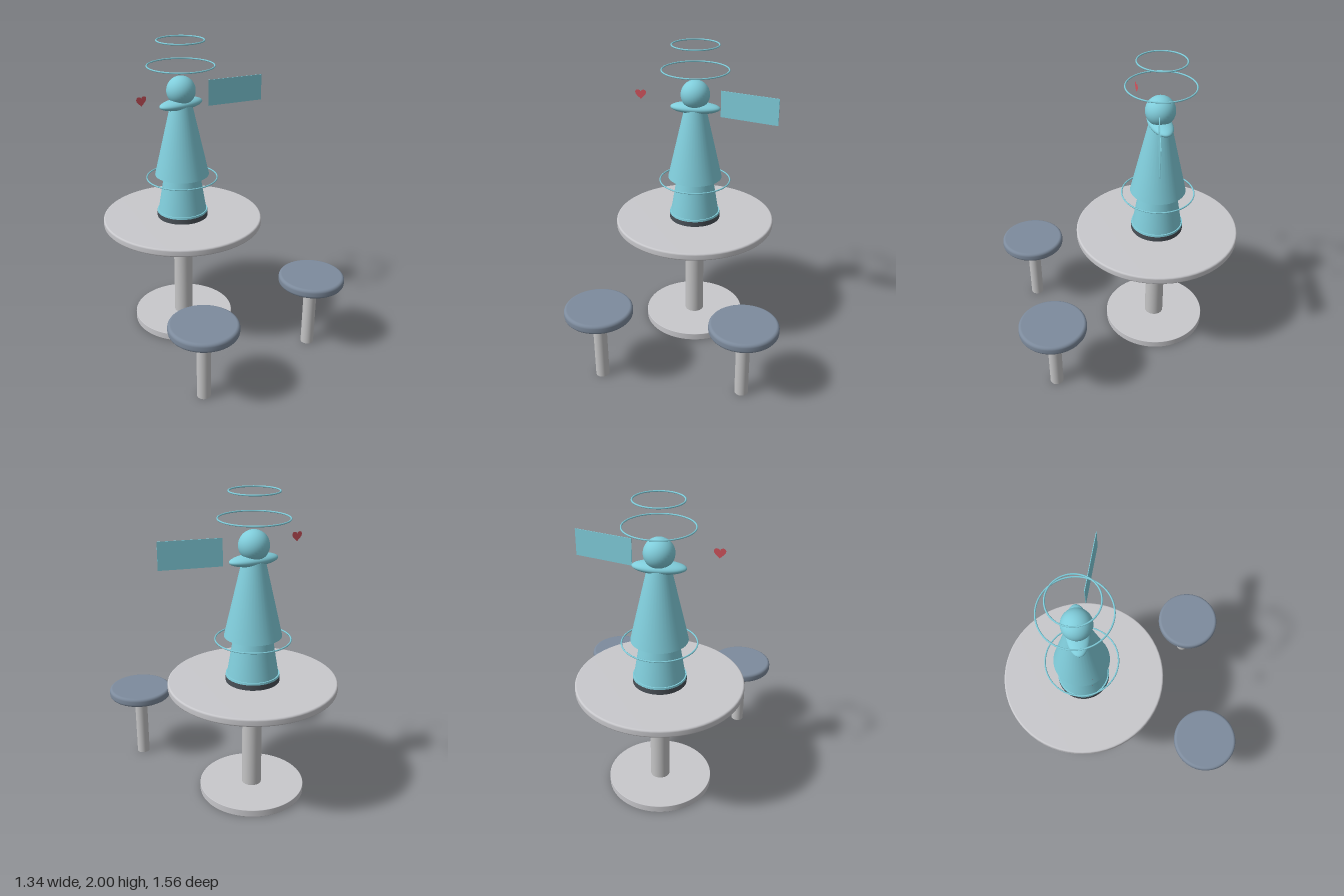
import * as THREE from 'three';

const mat = (name, color) => {
  const m = new THREE.MeshStandardMaterial({ color });
  m.name = name;
  return m;
};

export function createModel() {
  const model = new THREE.Group();
  const stone = mat('pale grey', 0xc8c8cc);
  const metal = mat('leg grey', 0xc4c4c5);
  const cushion = mat('slate blue', 0x7d8b9d);
  const dark = mat('dark grey', 0x4a5158);
  const cyan = mat('cyan', 0x80cddb);
  const red = mat('red', 0xd4555f);
  red.side = THREE.DoubleSide;
  const Z = -0.24; // table and figure axis

  const add = (name, geo, material, x, y, z, parent = model) => {
    const mesh = new THREE.Mesh(geo, material);
    mesh.name = name;
    mesh.position.set(x, y, z);
    parent.add(mesh);
    return mesh;
  };
  // Upright cylinder or cone from y0 to y1
  const column = (name, rTop, rBottom, y0, y1, material, x, z, parent) =>
    add(name, new THREE.CylinderGeometry(rTop, rBottom, y1 - y0, 40), material, x, (y0 + y1) / 2, z, parent);
  // Round disc with a rounded rim
  const disc = (name, r, y0, y1, bevel, material, x, z, parent) => {
    const h = y1 - y0, pts = [new THREE.Vector2(0, 0), new THREE.Vector2(r - bevel, 0)];
    for (let i = 0; i <= 4; i++) {
      const a = (i / 4) * Math.PI / 2;
      pts.push(new THREE.Vector2(r - bevel + bevel * Math.sin(a), bevel - bevel * Math.cos(a)));
    }
    for (let i = 0; i <= 4; i++) {
      const a = (i / 4) * Math.PI / 2;
      pts.push(new THREE.Vector2(r - bevel + bevel * Math.cos(a), h - bevel + bevel * Math.sin(a)));
    }
    pts.push(new THREE.Vector2(0, h));
    return add(name, new THREE.LatheGeometry(pts, 64), material, x, y0, z, parent);
  };

  // Table
  const table = new THREE.Group();
  table.name = 'table';
  model.add(table);
  disc('tableTop', 0.54, 0.755, 0.805, 0.012, stone, 0, Z, table);
  column('tablePillar', 0.064, 0.064, 0.04, 0.76, metal, 0, Z, table);
  disc('tableBase', 0.345, 0, 0.048, 0.003, stone, 0, Z, table);

  // Two stools in front
  for (const side of [-1, 1]) {
    const stool = new THREE.Group();
    stool.name = side > 0 ? 'leftStool' : 'rightStool';
    model.add(stool);
    disc('stoolSeat', 0.215, 0.458, 0.52, 0.02, cushion, side * 0.457, 0.56, stool);
    column('stoolLeg', 0.043, 0.043, 0, 0.465, metal, side * 0.457, 0.56, stool);
  }

  // Robed figure
  const figure = new THREE.Group();
  figure.name = 'figure';
  model.add(figure);
  column('plinth', 0.172, 0.172, 0.805, 0.84, dark, 0, Z, figure);
  column('plinthRim', 0.17, 0.172, 0.84, 0.853, cyan, 0, Z, figure);
  column('lowerRobe', 0.118, 0.163, 0.85, 1.12, cyan, 0, Z, figure);
  column('upperRobe', 0.072, 0.181, 1.105, 1.58, cyan, 0, Z, figure);
  const shoulders = add('shoulders', new THREE.SphereGeometry(1, 40, 24), cyan, 0, 1.588, Z, figure);
  shoulders.scale.set(0.165, 0.037, 0.073);
  add('head', new THREE.SphereGeometry(0.095, 32, 24), cyan, 0, 1.675, Z, figure);

  // Floating rings
  for (const [name, r, y] of [['waistRing', 0.236, 1.082], ['lowerHalo', 0.216, 1.836], ['upperHalo', 0.151, 1.995]]) {
    add(name, new THREE.TorusGeometry(r, 0.005, 8, 64).rotateX(Math.PI / 2), cyan, 0, y, Z);
  }

  // Blank sign panel, turned slightly
  const panel = add('signPanel', new THREE.BoxGeometry(0.387, 0.172, 0.004), cyan, 0.364, 1.642, -0.129);
  panel.rotation.y = -0.262;

  // Flat heart
  const heart = new THREE.Shape();
  heart.moveTo(0, -0.032);
  heart.bezierCurveTo(-0.012, -0.018, -0.036, -0.004, -0.036, 0.013);
  heart.bezierCurveTo(-0.036, 0.034, -0.006, 0.036, 0, 0.017);
  heart.bezierCurveTo(0.006, 0.036, 0.036, 0.034, 0.036, 0.013);
  heart.bezierCurveTo(0.036, -0.004, 0.012, -0.018, 0, -0.032);
  add('heart', new THREE.ShapeGeometry(heart, 10), red, -0.346, 1.675, -0.18);

  return model;
}
